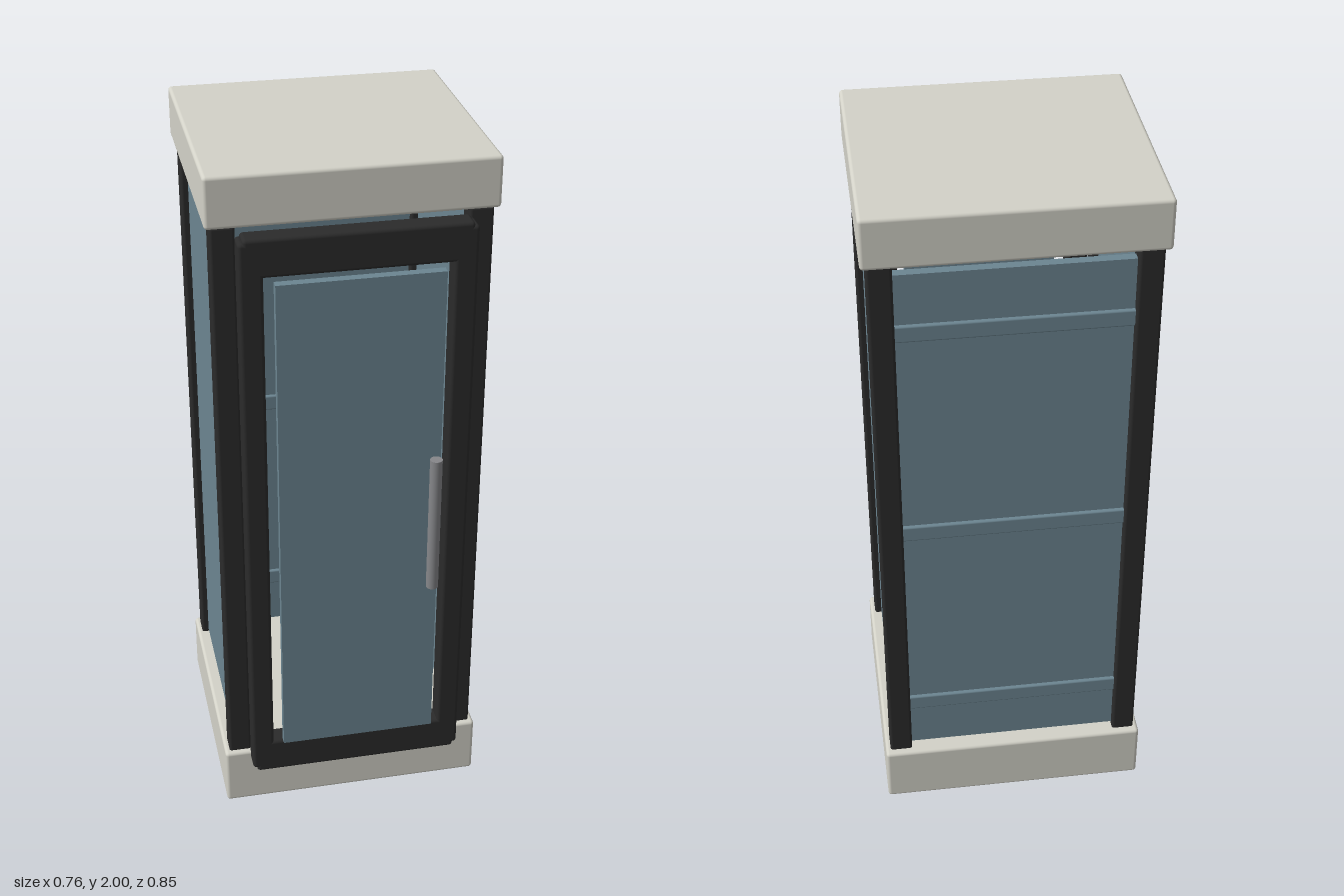
import * as THREE from 'three';
import { RoundedBoxGeometry } from 'three/addons/geometries/RoundedBoxGeometry.js';

function material(name, color) {
  const m = new THREE.MeshStandardMaterial({ color });
  m.name = name;
  return m;
}

export function createModel() {
  const stone = material('pale stone', 0xd3d2c8);
  const black = material('black frame', 0x2b2b2b);
  const glass = material('blue grey glass', 0x6c8591);
  const steel = material('steel', 0x86878a);

  const model = new THREE.Group();
  model.name = 'cabinet';

  // Box given by its [min, max] extents, with optional rounded edges
  function box(parent, name, mat, [x0, x1], [y0, y1], [z0, z1], radius = 0) {
    const w = x1 - x0, h = y1 - y0, d = z1 - z0;
    const geometry = radius
      ? new RoundedBoxGeometry(w, h, d, 3, radius)
      : new THREE.BoxGeometry(w, h, d);
    const mesh = new THREE.Mesh(geometry, mat);
    mesh.name = name;
    mesh.position.set((x0 + x1) / 2, (y0 + y1) / 2, (z0 + z1) / 2);
    parent.add(mesh);
    return mesh;
  }

  // Base and top slabs
  const slabX = [-0.382, 0.382], slabZ = [-0.425, 0.28];
  box(model, 'base', stone, slabX, [0, 0.18], slabZ, 0.01);
  box(model, 'topSlab', stone, slabX, [1.86, 2], slabZ, 0.01);

  // Corner posts and side panels
  for (const side of [-1, 1]) {
    const label = side > 0 ? 'left' : 'right';
    const span = (a, b) => (side > 0 ? [a, b] : [-b, -a]);
    const postX = span(0.303, 0.368);
    box(model, label + 'FrontPost', black, postX, [0.175, 1.86], [0.2, 0.265], 0.008);
    box(model, label + 'BackPost', black, postX, [0.175, 1.86], [-0.405, -0.34], 0.008);
    box(model, label + 'SidePanel', glass, span(0.323, 0.348), [0.19, 1.82], [-0.345, 0.205]);
  }

  // Back panel with three horizontal rails
  box(model, 'backPanel', glass, [-0.308, 0.308], [0.19, 1.82], [-0.385, -0.36]);
  for (const y of [0.358, 1.005, 1.652]) {
    box(model, 'backRail', glass, [-0.308, 0.308], [y - 0.024, y + 0.024], [-0.395, -0.35], 0.005);
  }

  // Door: two stiles, two rails and a raised pane
  const door = new THREE.Group();
  door.name = 'door';
  model.add(door);
  const doorZ = [0.283, 0.345];
  box(door, 'leftStile', black, [0.246, 0.309], [0.168, 1.845], doorZ, 0.01);
  box(door, 'rightStile', black, [-0.309, -0.246], [0.168, 1.845], doorZ, 0.01);
  box(door, 'topRail', black, [-0.297, 0.297], [1.748, 1.855], doorZ, 0.01);
  box(door, 'bottomRail', black, [-0.297, 0.297], [0.155, 0.262], doorZ, 0.01);
  box(door, 'doorPane', glass, [-0.221, 0.221], [0.272, 1.738], [0.344, 0.369]);

  // Vertical bar handle
  const handle = new THREE.Mesh(new THREE.CylinderGeometry(0.017, 0.017, 0.41, 24), steel);
  handle.name = 'handle';
  handle.position.set(0.198, 1.005, 0.408);
  door.add(handle);

  return model;
}
